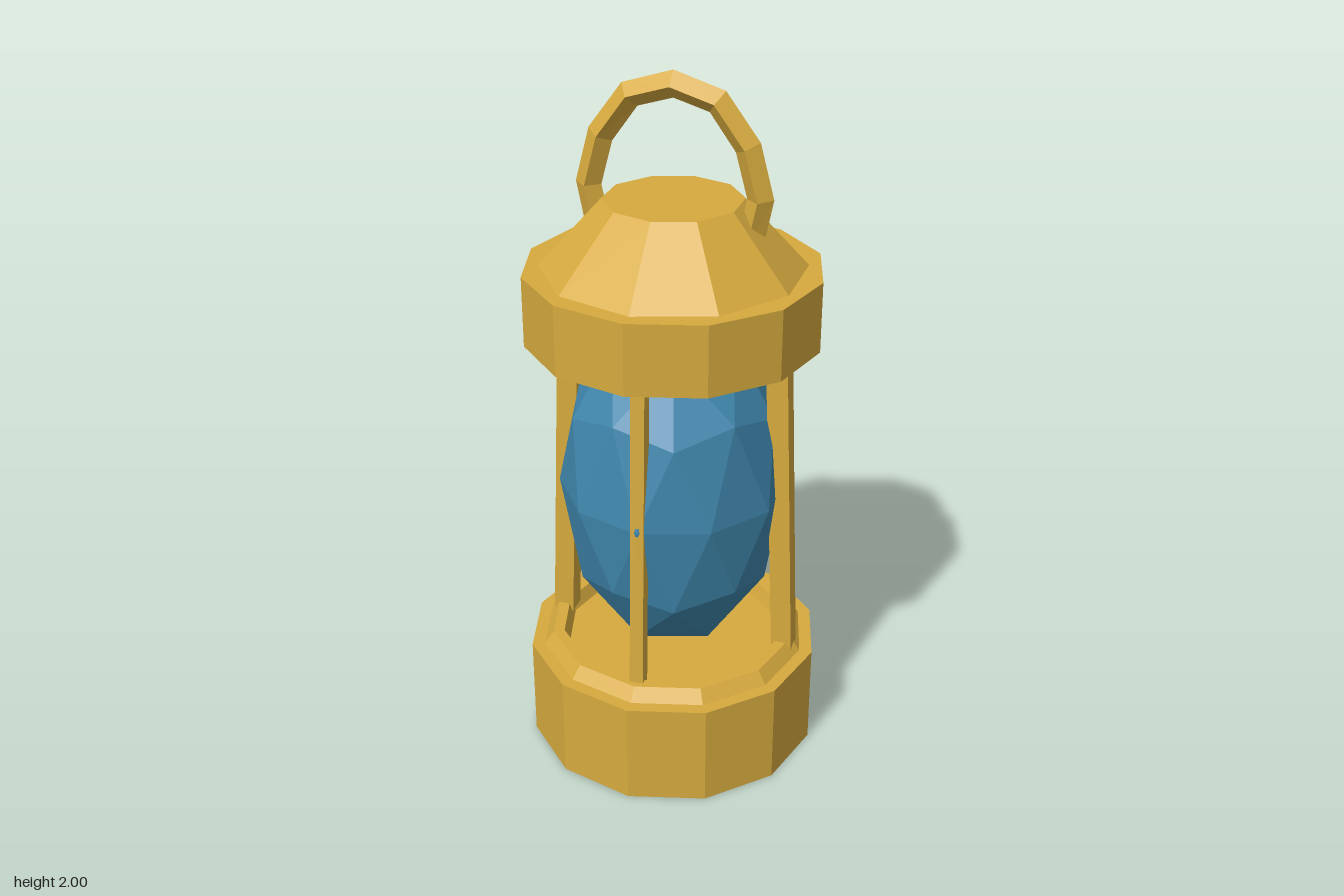
import * as THREE from 'three';

const brass = new THREE.MeshStandardMaterial({ color: 0xd6aa3e, flatShading: true });
brass.name = 'brass';
const blueGlass = new THREE.MeshStandardMaterial({ color: 0x3f86ac, flatShading: true });
blueGlass.name = 'blue glass';

const part = (name, geometry, material = brass) => {
  const mesh = new THREE.Mesh(geometry, material);
  mesh.name = name;
  return mesh;
};

// Twelve-sided turned part from [radius, height] pairs, listed from the bottom up
const turned = (profile) =>
  new THREE.LatheGeometry(profile.map(([r, y]) => new THREE.Vector2(r, y)), 12);

// Square bar between two points
function bar(name, from, to, width) {
  const dir = to.clone().sub(from);
  const mesh = part(name, new THREE.BoxGeometry(width, dir.length(), width));
  mesh.position.copy(from).add(to).multiplyScalar(0.5);
  mesh.quaternion.setFromUnitVectors(new THREE.Vector3(0, 1, 0), dir.normalize());
  return mesh;
}

// Path with straight runs, sampled exactly at its corners
class CornerPath extends THREE.Curve {
  constructor(points) {
    super();
    this.points = points;
  }
  getPoint(t, target = new THREE.Vector3()) {
    const n = this.points.length - 1;
    const i = Math.min(Math.floor(t * n + 1e-9), n - 1);
    return target.lerpVectors(this.points[i], this.points[i + 1], t * n - i);
  }
  getPointAt(t, target) { return this.getPoint(t, target); }
  getTangentAt(t, target) { return this.getTangent(t, target); }
}

export function createModel() {
  const lantern = new THREE.Group();
  lantern.name = 'lantern';

  // Base with a raised, bevelled lip around a shallow recess
  lantern.add(part('base', turned([
    [0, 0], [0.427, 0], [0.427, 0.305], [0.39, 0.305], [0.362, 0.342],
    [0.33, 0.342], [0.315, 0.3], [0, 0.3],
  ])));

  // Cap with a matching lip underneath
  lantern.add(part('cap', turned([
    [0, 1.3], [0.3, 1.3], [0.315, 1.245], [0.338, 1.245], [0.365, 1.273],
    [0.41, 1.273], [0.41, 1.472], [0, 1.472],
  ])));

  // Ten-sided roof
  const roof = part('roof', new THREE.CylinderGeometry(0.19, 0.365, 0.19, 10));
  roof.position.y = 1.565;
  lantern.add(roof);

  // Faceted glass, turned so that one corner points straight up
  const glassShape = new THREE.IcosahedronGeometry(1, 1);
  glassShape.rotateZ(-Math.atan(2 / (1 + Math.sqrt(5))));
  glassShape.scale(0.325, 0.53, 0.325);
  const glass = part('glass', glassShape, blueGlass);
  glass.position.y = 0.82;
  lantern.add(glass);

  // Four posts leaning inwards, the side pair thicker
  for (const s of [1, -1]) {
    lantern.add(bar(s > 0 ? 'leftPost' : 'rightPost',
      new THREE.Vector3(s * 0.341, 0.32, 0), new THREE.Vector3(s * 0.297, 1.32, 0), 0.06));
    lantern.add(bar(s > 0 ? 'frontPost' : 'backPost',
      new THREE.Vector3(0, 0.29, s * 0.325), new THREE.Vector3(0, 1.32, s * 0.282), 0.039));
  }

  // Carrying handle: mirrored arch with a diamond section
  const half = [[0.213, 1.57], [0.236, 1.68], [0.2, 1.815], [0.118, 1.927]];
  const arch = [
    ...half.map(([x, y]) => new THREE.Vector3(x, y, 0)),
    new THREE.Vector3(0, 1.963, 0),
    ...half.map(([x, y]) => new THREE.Vector3(-x, y, 0)).reverse(),
  ];
  lantern.add(part('handle', new THREE.TubeGeometry(new CornerPath(arch), 8, 0.036, 4)));

  return lantern;
}
